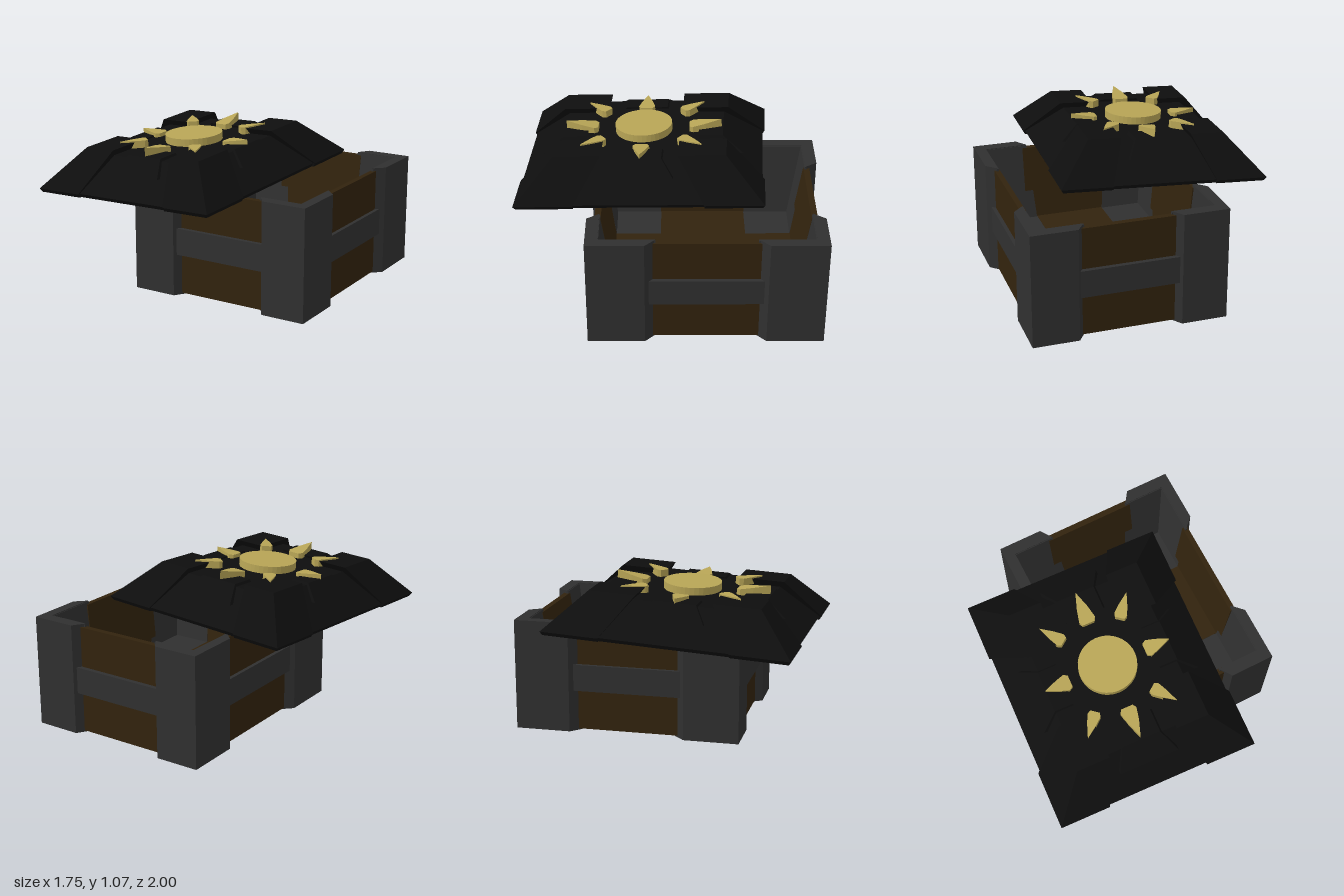
import * as THREE from 'three';

const mat = (color) => new THREE.MeshStandardMaterial({ color, flatShading: true, side: THREE.DoubleSide });
const METAL = mat(0x303030), WOOD = mat(0x32230d), DARK = mat(0x0e0e0e), GOLD = mat(0xb8a556);

function add(parent, name, geometry, material) {
  const mesh = new THREE.Mesh(geometry, material);
  mesh.name = name;
  parent.add(mesh);
  return mesh;
}

// Box whose bottom and top rectangles differ; rectangles are [x0, x1, z0, z1],
// mirrored by the signs sx and sz
function tapered(y0, low, y1, high, sx = 1, sz = 1) {
  const geo = new THREE.BoxGeometry(2, 2, 2);
  const p = geo.attributes.position;
  const flip = ([a, b, c, d]) => [
    ...(sx > 0 ? [a, b] : [-b, -a]), ...(sz > 0 ? [c, d] : [-d, -c])];
  const lo = flip(low), hi = flip(high);
  for (let i = 0; i < p.count; i++) {
    const r = p.getY(i) < 0 ? lo : hi;
    p.setXYZ(i, r[p.getX(i) < 0 ? 0 : 1], p.getY(i) < 0 ? y0 : y1, r[p.getZ(i) < 0 ? 2 : 3]);
  }
  geo.computeVertexNormals();
  return geo;
}

// Upright prism from a plan outline of [x, z] points
function prism(points, y0, y1) {
  const shape = new THREE.Shape(points.map(([x, z]) => new THREE.Vector2(x, z)));
  const geo = new THREE.ExtrudeGeometry(shape, { depth: y1 - y0, bevelEnabled: false });
  return geo.rotateX(Math.PI / 2).translate(0, y1, 0);
}

const QUADRANTS = [[1, 1], [-1, 1], [-1, -1], [1, -1]];

function buildCrate() {
  const crate = new THREE.Group();
  crate.name = 'crate';
  const L0 = 0.2, L1 = 0.24; // floor underside and top

  // Corner posts: chamfered L walls with sloping liners above and below the floor
  const plan = [[0.635, 0.76], [0.335, 0.76], [0.295, 0.70], [0.28, 0.68],
    [0.565, 0.68], [0.565, 0.32], [0.58, 0.335], [0.635, 0.39]];
  for (const [sx, sz] of QUADRANTS) {
    const post = new THREE.Group();
    post.name = 'cornerPost';
    add(post, 'postWall', prism(plan.map(([x, z]) => [x * sx, z * sz]), 0, 0.75), METAL);
    const thinZ = [0.28, 0.57, 0.675, 0.69], thickZ = [0.235, 0.57, 0.59, 0.69];
    const thinX = [0.56, 0.575, 0.32, 0.69], thickX = [0.505, 0.575, 0.29, 0.69];
    for (const [thin, thick] of [[thinZ, thickZ], [thinX, thickX]]) {
      add(post, 'upperLiner', tapered(L0, thick, 0.745, thin, sx, sz), METAL);
      add(post, 'lowerLiner', tapered(0.01, thin, L0, thick, sx, sz), METAL);
    }
    const corner = [0.235, 0.52, 0.29, 0.6];
    add(post, 'cornerFloor', tapered(L0 + 0.004, corner, L1 - 0.004, corner, sx, sz), METAL);
    crate.add(post);
  }

  // Wooden panels between the posts, each with a metal strap
  for (const s of [1, -1]) {
    const endThin = [-0.31, 0.31, 0.67, 0.71], endThick = [-0.31, 0.31, 0.592, 0.71];
    const sideThin = [0.55, 0.585, -0.345, 0.345], sideThick = [0.507, 0.585, -0.345, 0.345];
    for (const [thin, thick] of [[endThin, endThick], [sideThin, sideThick]]) {
      add(crate, 'upperPanel', tapered(L0, thick, 0.73, thin, s, s), WOOD);
      add(crate, 'lowerPanel', tapered(0.01, thin, L0, thick, s, s), WOOD);
    }
    const endStrap = [-0.322, 0.322, 0.7, 0.74], sideStrap = [0.575, 0.61, -0.365, 0.365];
    add(crate, 'endStrap', tapered(0.28, endStrap, 0.46, endStrap, s, s), METAL);
    add(crate, 'sideStrap', tapered(0.28, sideStrap, 0.46, sideStrap, s, s), METAL);
  }

  // Cross-shaped wooden floor
  const long = [-0.235, 0.235, -0.6, 0.6], wide = [-0.51, 0.51, -0.29, 0.29];
  add(crate, 'floorLong', tapered(L0, long, L1, long), WOOD);
  add(crate, 'floorWide', tapered(L0, wide, L1, wide), WOOD);

  crate.position.set(0.235, 0, -0.24);
  return crate;
}

function buildLid() {
  const lid = new THREE.Group();
  lid.name = 'lid';
  const rect = (x, z) => [-x, x, -z, z];

  // Sloped body and its underside lip
  add(lid, 'lidBody', tapered(0, rect(0.66, 0.79), 0.2, rect(0.42, 0.53)), DARK);
  add(lid, 'lidLip', tapered(-0.025, rect(0.645, 0.775), 0, rect(0.66, 0.79)), DARK);

  // Raised corner caps
  for (const [sx, sz] of QUADRANTS) {
    add(lid, 'cornerCap', tapered(0, [0.34, 0.675, 0.42, 0.805],
      0.24, [0.23, 0.45, 0.25, 0.56], sx, sz), DARK);
    add(lid, 'cornerCapLip', tapered(-0.025, [0.34, 0.66, 0.42, 0.79],
      0, [0.34, 0.675, 0.42, 0.805], sx, sz), DARK);
  }

  // Wedge blocks in the notches between the caps
  for (const s of [1, -1]) {
    add(lid, 'endWedge', tapered(0.12, [-0.2, 0.2, 0.4, 0.665],
      0.215, [-0.13, 0.13, 0.37, 0.53], s, s), DARK);
    add(lid, 'sideWedge', tapered(0.12, [0.32, 0.54, -0.22, 0.22],
      0.21, [0.3, 0.425, -0.14, 0.14], s, s), DARK);
  }

  // Sun disc with eight pointed rays
  add(lid, 'sunDisc', new THREE.CylinderGeometry(0.19, 0.19, 0.07, 40).translate(0, 0.215, 0), GOLD);
  const ray = (x, z, inner, outer, width, top, rise) => {
    const angle = Math.atan2(x, z);
    const geo = prism([[-width * 0.36, inner], [width * 0.36, inner],
      [width / 2, inner + 0.025], [width * 0.33, inner + (outer - inner) * 0.5],
      [0, outer], [-width * 0.33, inner + (outer - inner) * 0.5],
      [-width / 2, inner + 0.025]], top - 0.06, top);
    const p = geo.attributes.position;
    for (let i = 0; i < p.count; i++) {
      p.setY(i, p.getY(i) + rise * (p.getZ(i) - inner) / (outer - inner));
    }
    geo.computeVertexNormals();
    add(lid, 'sunRay', geo.rotateY(angle), GOLD);
  };
  for (const s of [1, -1]) {
    ray(0, s, 0.305, 0.52, 0.11, 0.235, 0.035);
    ray(s, 0, 0.26, 0.43, 0.11, 0.225, 0.015);
    for (const t of [1, -1]) ray(0.31 * s, 0.4 * t, 0.32, 0.5, 0.085, 0.247, 0.004);
  }

  // Lid rests askew on the crate
  lid.rotation.set(0.045, -0.058, 0.044);
  lid.position.set(-0.157, 0.777, 0.153);
  return lid;
}

export function createModel() {
  const model = new THREE.Group();
  model.name = 'openCrate';
  model.add(buildCrate(), buildLid());
  return model;
}
